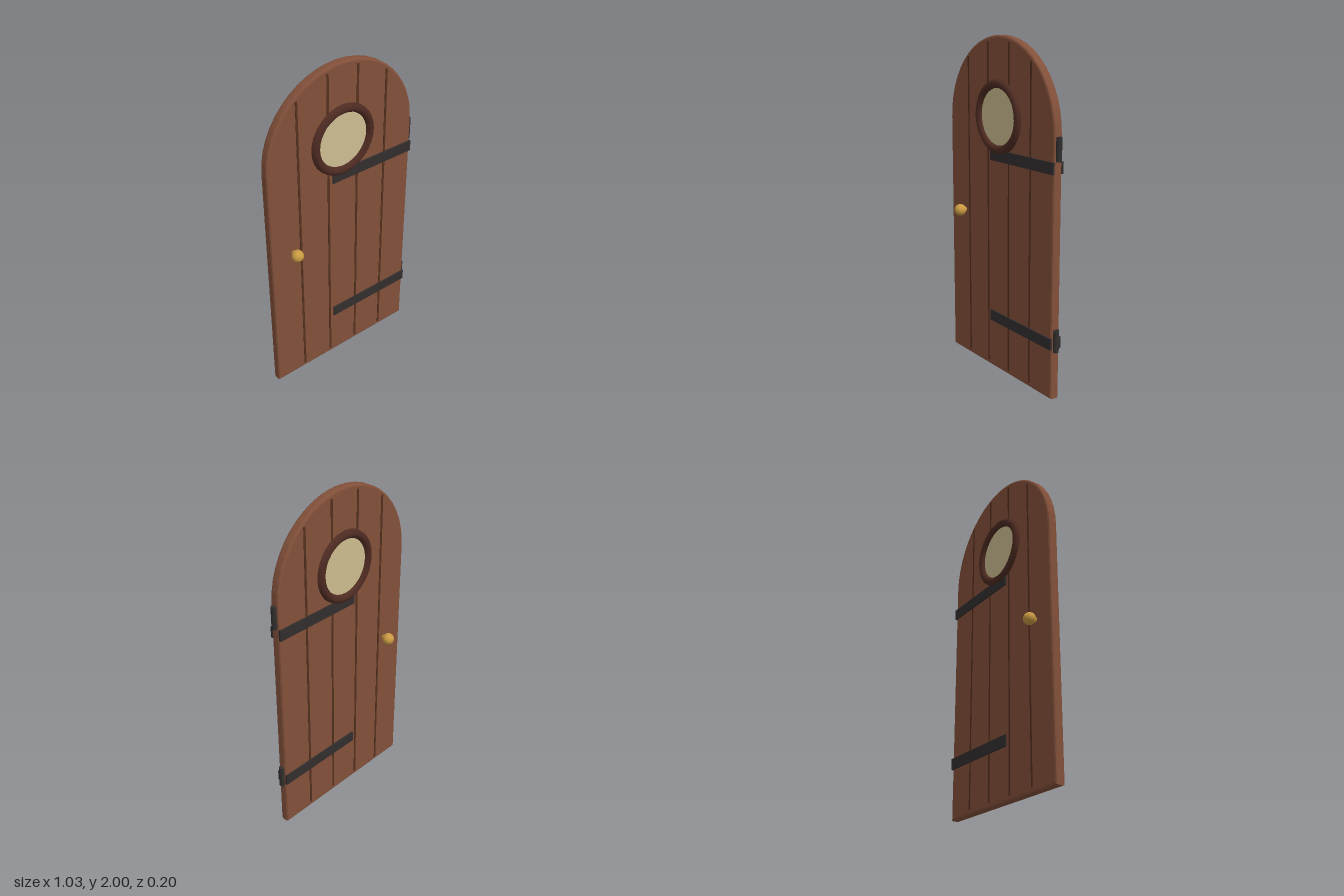
import * as THREE from 'three';

const material = (name, color) => {
  const m = new THREE.MeshStandardMaterial({ color });
  m.name = name;
  return m;
};

export function createModel() {
  const wood = material('brown wood', 0x82503a);
  const groove = material('groove brown', 0x54301f);
  const frame = material('dark frame wood', 0x4e2b22);
  const iron = material('black iron', 0x322e2e);
  const brass = material('brass', 0xc99a42);
  const pane = material('cream glass', 0xcdbd90);

  const group = new THREE.Group();
  group.name = 'archedDoor';
  const add = (name, geometry, mat, x = 0, y = 0, z = 0) => {
    const mesh = new THREE.Mesh(geometry, mat);
    mesh.name = name;
    mesh.position.set(x, y, z);
    group.add(mesh);
    return mesh;
  };

  const cx = -0.012; // middle of the door leaf
  const r = 0.503; // arch radius and half width
  const spring = 2 - r;

  // Door leaf: round-topped slab with softened edges
  const outline = new THREE.Shape();
  outline.moveTo(-r, 0);
  outline.lineTo(r, 0);
  outline.lineTo(r, spring);
  outline.absarc(0, spring, r, 0, Math.PI, false);
  const bevel = 0.012;
  const leaf = new THREE.ExtrudeGeometry(outline, {
    depth: 0.032, curveSegments: 12, bevelEnabled: true,
    bevelSize: bevel, bevelThickness: bevel, bevelOffset: -bevel, bevelSegments: 2,
  });
  leaf.translate(0, 0, -0.016);
  add('doorLeaf', leaf, wood, cx);

  // Plank seams, showing on both faces
  for (const [offset, top] of [[0.302, 1.873], [0.101, 1.963]]) {
    for (const side of [-1, 1]) {
      const height = top - 0.027;
      add('plankSeam', new THREE.BoxGeometry(0.014, height, 0.061), groove,
        cx + side * offset, 0.027 + height / 2);
    }
  }

  // Round window
  const windowY = 1.545;
  const ring = add('windowFrame', new THREE.TorusGeometry(0.188, 0.032, 8, 32), frame, cx, windowY);
  ring.scale.z = 1.83;
  const glass = new THREE.CylinderGeometry(0.18, 0.18, 0.064, 32);
  glass.rotateX(Math.PI / 2);
  add('windowPane', glass, pane, cx, windowY);

  // Strap hinges on both faces, with a knuckle on the door edge
  for (const [strapY, knuckleY] of [[1.322, 1.424], [0.333, 0.35]]) {
    for (const side of [-1, 1]) {
      add('hingeStrap', new THREE.BoxGeometry(0.577, 0.066, 0.013), iron, 0.2035, strapY, side * 0.0305);
    }
    add('hingeKnuckle', new THREE.CylinderGeometry(0.017, 0.017, 0.132, 12), iron, 0.496, knuckleY);
  }

  // Door knobs joined by a spindle
  const knobX = -0.367, knobY = 0.938;
  const spindle = new THREE.CylinderGeometry(0.016, 0.016, 0.12, 12);
  spindle.rotateX(Math.PI / 2);
  add('knobSpindle', spindle, brass, knobX, knobY);
  for (const side of [-1, 1]) {
    add('doorKnob', new THREE.SphereGeometry(0.036, 20, 14), brass, knobX, knobY, side * 0.066);
  }

  return group;
}
